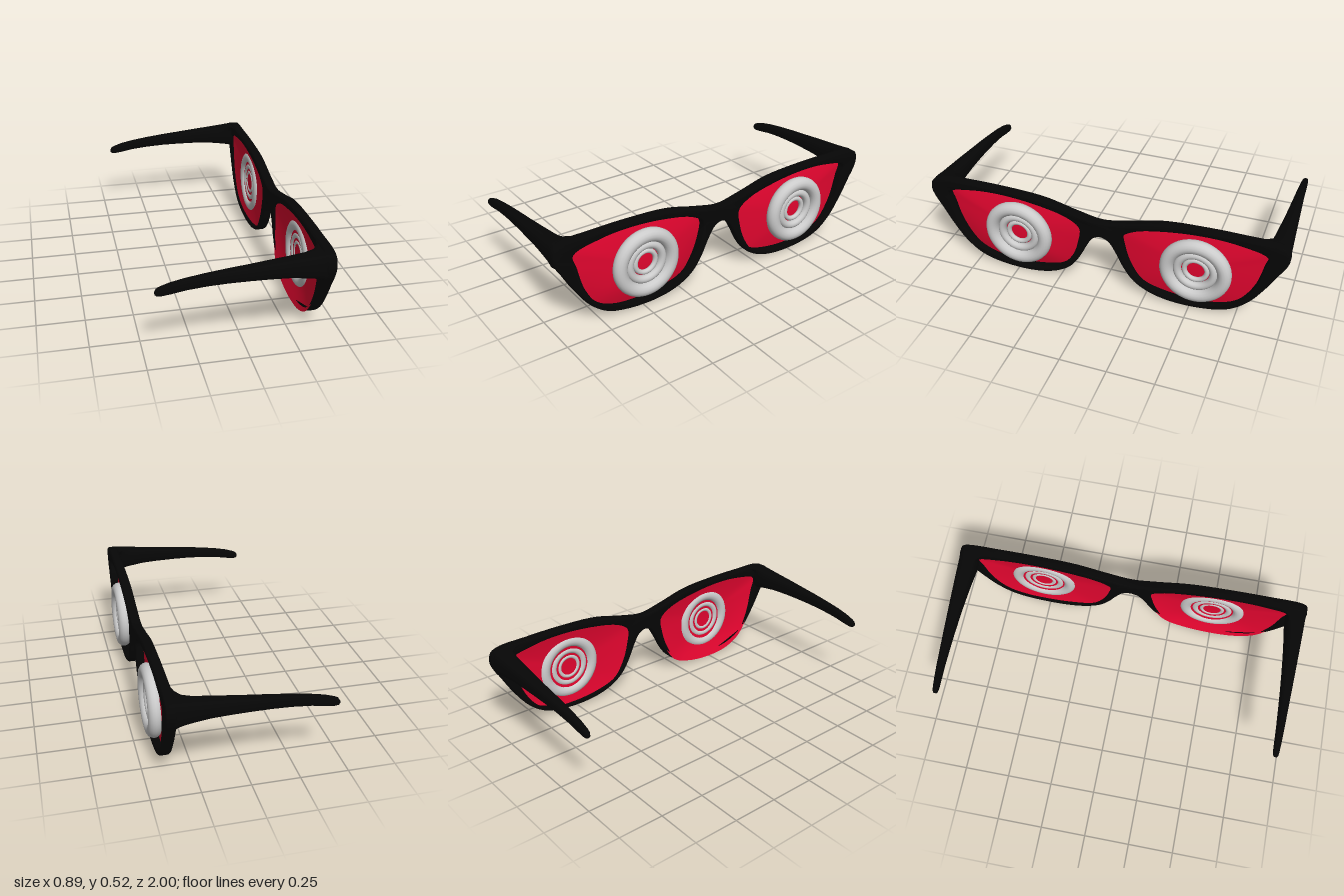
import * as THREE from 'three';
import { toCreasedNormals } from 'three/addons/utils/BufferGeometryUtils.js';

const black = new THREE.MeshStandardMaterial({ color: 0x060606 });
const red = new THREE.MeshStandardMaterial({ color: 0xe4052f, side: THREE.DoubleSide });
const grey = new THREE.MeshStandardMaterial({ color: 0xcccccc });

// Half of the rim outline as (z, y), bridge top round to bridge bottom
const halfRim = [[0, 0.435], [0.14, 0.46], [0.33, 0.505], [0.57, 0.52], [0.78, 0.52], [0.94, 0.515], [0.987, 0.493],
  [0.999, 0.44], [0.985, 0.395], [0.95, 0.335], [0.89, 0.23], [0.81, 0.12], [0.7, 0.042], [0.48, 0.008], [0.3, 0.032],
  [0.19, 0.092], [0.13, 0.17], [0.085, 0.26], [0.043, 0.325], [0, 0.343]];
// Lens opening as (z, y)
const opening = [[0.89, 0.435], [0.75, 0.475], [0.57, 0.486], [0.35, 0.465], [0.19, 0.425], [0.122, 0.375],
  [0.13, 0.285], [0.165, 0.18], [0.23, 0.09], [0.35, 0.05], [0.51, 0.036], [0.65, 0.05], [0.755, 0.1],
  [0.835, 0.22], [0.875, 0.365]];

// Smooth closed loop through 2D points
function smoothLoop(points, count) {
  const curve = new THREE.CatmullRomCurve3(points.map(([a, b]) => new THREE.Vector3(a, b, 0)), true);
  return curve.getPoints(count).slice(0, -1).map(p => new THREE.Vector2(p.x, p.y));
}

function indexed(positions, index) {
  const g = new THREE.BufferGeometry();
  g.setAttribute('position', new THREE.Float32BufferAttribute(positions, 3));
  g.setIndex(index);
  g.computeVertexNormals();
  return g;
}

function add(group, name, geometry, material) {
  const mesh = new THREE.Mesh(geometry, material);
  mesh.name = name;
  group.add(mesh);
  return mesh;
}

// Front rim with two openings and rounded edges; the outline runs counter-clockwise
function rimGeometry() {
  const mirrored = halfRim.slice(1, -1).reverse().map(([z, y]) => [-z, y]);
  const shape = new THREE.Shape(smoothLoop([...halfRim, ...mirrored], 200).reverse());
  for (const s of [1, -1]) {
    shape.holes.push(new THREE.Path(smoothLoop(opening.map(([z, y]) => [s * z, y]), 80)));
  }
  const b = 0.012;
  const g = new THREE.ExtrudeGeometry(shape, {
    depth: 0.056 - 2 * b, bevelEnabled: true, bevelThickness: b, bevelSize: b, bevelOffset: -b, bevelSegments: 4
  });
  g.translate(0, 0, 0.358 + b).rotateY(Math.PI / 2);
  return toCreasedNormals(g, 0.8);
}

// Temple arm: x, bottom y, top y, inner z, outer z, inward flare along the top edge
const armSections = [
  [-0.446, 0.373, 0.39, 0.932, 0.95, 0], [-0.438, 0.366, 0.403, 0.927, 0.955, 0],
  [-0.42, 0.364, 0.412, 0.924, 0.957, 0], [-0.37, 0.371, 0.428, 0.922, 0.96, 0],
  [-0.3, 0.384, 0.442, 0.92, 0.963, 0], [-0.2, 0.394, 0.456, 0.916, 0.967, 0],
  [-0.1, 0.399, 0.467, 0.912, 0.972, 0], [0, 0.4, 0.476, 0.907, 0.977, 0],
  [0.1, 0.399, 0.486, 0.901, 0.982, 0], [0.2, 0.395, 0.495, 0.893, 0.987, 0],
  [0.28, 0.384, 0.503, 0.886, 0.991, 0.004], [0.325, 0.376, 0.508, 0.884, 0.993, 0.022],
  [0.35, 0.369, 0.511, 0.886, 0.995, 0.065], [0.362, 0.364, 0.513, 0.89, 0.996, 0.12],
  [0.385, 0.375, 0.513, 0.9, 0.99, 0.1]];

function armGeometry(side) {
  const n = 32, pos = [], idx = [];
  const tri = (a, b, c) => idx.push(...(side > 0 ? [a, b, c] : [a, c, b]));
  const round = v => Math.sign(v) * Math.abs(v) ** 0.75;
  for (const [x, y0, y1, z0, z1, flare] of armSections) {
    for (let i = 0; i < n; i++) {
      const a = i / n * Math.PI * 2, c = Math.cos(a), s = Math.sin(a);
      const inward = flare * Math.max(0, s) ** 4 * Math.min(1, Math.max(0, 0.4 - c) / 0.6);
      const z = (z0 + z1) / 2 + (z1 - z0) / 2 * round(c) - inward;
      pos.push(x, (y0 + y1) / 2 + (y1 - y0) / 2 * round(s), side * z);
    }
  }
  const last = armSections.length - 1, tip = pos.length / 3;
  const [tx, ty0, ty1, tz0, tz1] = armSections[0];
  pos.push(tx - 0.002, (ty0 + ty1) / 2, side * (tz0 + tz1) / 2);
  for (let i = 0; i < n; i++) {
    const j = (i + 1) % n;
    for (let k = 0; k < last; k++) {
      const a = k * n + i, b = k * n + j;
      tri(a, a + n, b);
      tri(b, a + n, b + n);
    }
    tri(tip, i, j);
  }
  return indexed(pos, idx);
}

// Bowed lens sheet, its edge tucked into the rim; the left one sags behind the rim at the bottom
function lensGeometry(side) {
  const loop = smoothLoop(opening, 64), n = loop.length, rings = 8;
  const cz = 0.5, cy = 0.26, sag = side > 0 ? 1 : 0;
  const pos = [0.392, cy, side * cz], idx = [];
  for (let r = 1; r <= rings; r++) {
    const t = r / rings;
    for (const p of loop) {
      const y = cy + (p.y - cy) * 1.07 * t;
      const low = sag * t ** 3 * Math.max(0, (0.3 - y) / 0.3);
      pos.push(0.392 - 0.024 * t * t - 0.021 * low, y - 0.02 * low ** 3, side * (cz + (p.x - cz) * 1.05 * t));
    }
  }
  for (let i = 0; i < n; i++) {
    const j = (i + 1) % n;
    idx.push(0, 1 + i, 1 + j);
    for (let r = 0; r < rings - 1; r++) {
      const a = 1 + r * n + i, b = 1 + r * n + j;
      idx.push(a, a + n, b, b, a + n, b + n);
    }
  }
  return indexed(pos, idx);
}

export function createModel() {
  const model = new THREE.Group();
  model.name = 'glasses';
  add(model, 'frontRim', rimGeometry(), black);

  for (const side of [1, -1]) {
    const label = side > 0 ? 'left' : 'right';
    add(model, label + 'Arm', armGeometry(side), black);
    add(model, label + 'Lens', lensGeometry(side), red);

    // Concentric rings set through the lens: radius, thickness radius, x
    const rings = new THREE.Group();
    rings.name = label + 'LensRings';
    rings.position.set(0, 0.258, side > 0 ? 0.481 : -0.525);
    const sizes = [['outerRing', 0.156, 0.038, 0.409], ['middleRing', 0.099, 0.022, 0.405],
      ['innerRing', 0.061, 0.0135, 0.4]];
    for (const [name, radius, tube, x] of sizes) {
      const ring = add(rings, name, new THREE.TorusGeometry(radius, tube, 16, 48), grey);
      ring.rotation.y = Math.PI / 2;
      ring.position.x = x;
    }
    model.add(rings);
  }
  return model;
}
